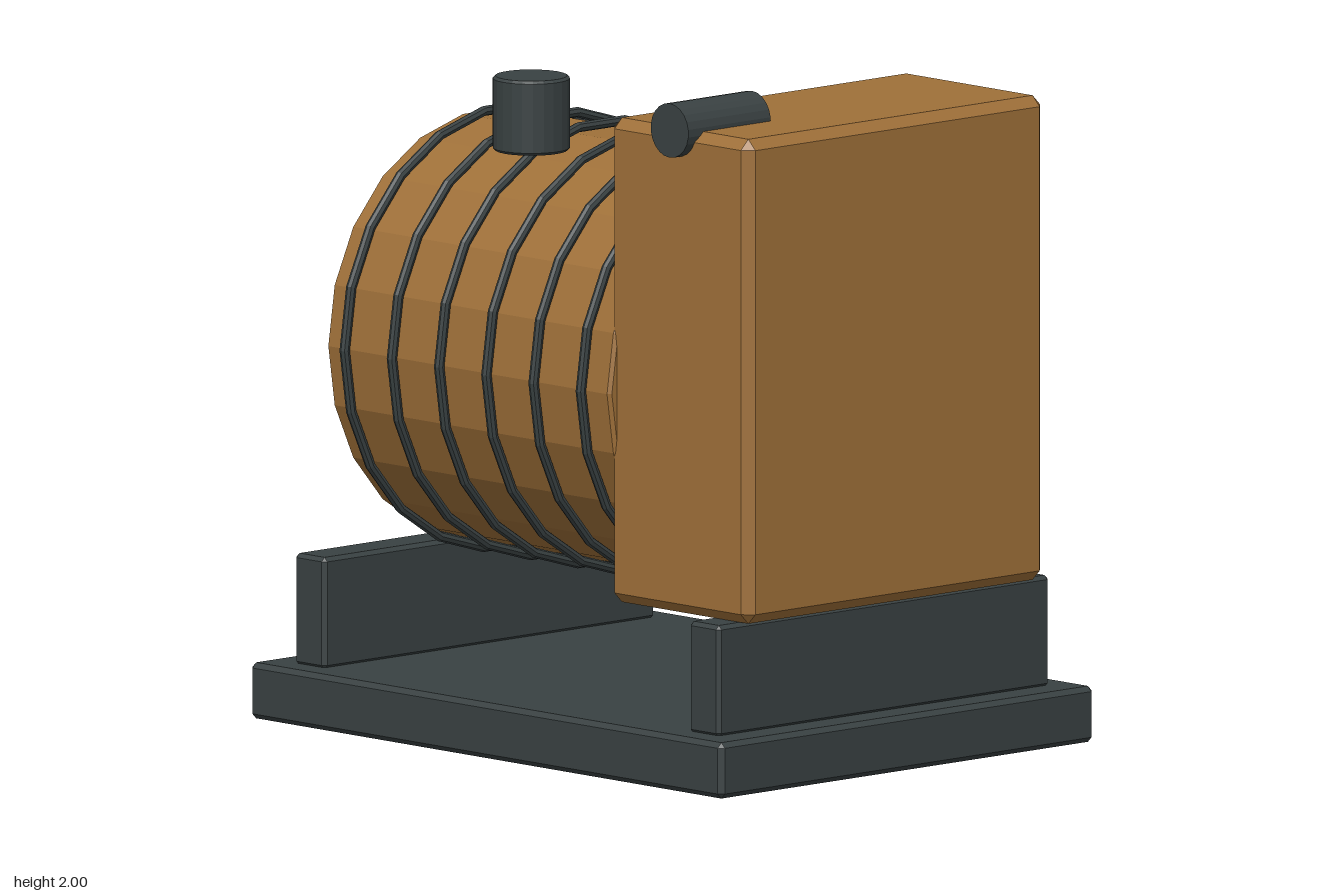
import * as THREE from 'three';
import { ConvexGeometry } from 'three/addons/geometries/ConvexGeometry.js';

const SIDES = 22;

export function createModel() {
  const root = new THREE.Group();
  root.name = 'drumMachine';
  const material = (name, color) => {
    const m = new THREE.MeshStandardMaterial({ color });
    m.name = name;
    return m;
  };
  const copper = material('copper', 0x9f7039);
  const iron = material('darkIron', 0x394142);
  const green = material('displayGreen', 0x3fb65c);

  const add = (name, geometry, mat, x, y, z, parent = root) => {
    const flat = geometry.index ? geometry.toNonIndexed() : geometry;
    flat.computeVertexNormals();
    const mesh = new THREE.Mesh(flat, mat);
    mesh.name = name;
    mesh.position.set(x, y, z);
    parent.add(mesh);
    return mesh;
  };

  // box with a single flat chamfer on every edge
  const chamferBox = (w, h, d, b) => {
    const points = [];
    for (const sx of [-1, 1]) for (const sy of [-1, 1]) for (const sz of [-1, 1]) {
      for (let full = 0; full < 3; full++) {
        const cut = (axis) => (axis === full ? 0 : b);
        points.push(new THREE.Vector3(
          sx * (w / 2 - cut(0)), sy * (h / 2 - cut(1)), sz * (d / 2 - cut(2))));
      }
    }
    return new ConvexGeometry(points);
  };

  // upright cylinder with chamfered rims, centred on the origin
  const chamferCylinder = (r, h, b) => new THREE.LatheGeometry([
    [0, -h / 2], [r - b, -h / 2], [r, -h / 2 + b],
    [r, h / 2 - b], [r - b, h / 2], [0, h / 2],
  ].map(([x, y]) => new THREE.Vector2(x, y)), SIDES);

  // base and the two supports
  add('base', chamferBox(2, 0.165, 1.5, 0.015), iron, 0, 0.0825, 0);
  for (const [name, x] of [['rightSupport', -0.835], ['leftSupport', 0.835]]) {
    add(name, chamferBox(0.13, 0.33, 1.33, 0.012), iron, x, 0.325, 0);
  }

  // drum lying along x, with raised hoops
  const axisY = 1.11;
  add('drum', chamferCylinder(0.63, 1.2, 0.01).rotateZ(Math.PI / 2), copper, -0.2, axisY, 0);
  const hoops = new THREE.Group();
  hoops.name = 'drumHoops';
  root.add(hoops);
  for (const x of [-0.7, -0.5, -0.3, -0.1, 0.1, 0.3]) {
    add('hoop', new THREE.TorusGeometry(0.65, 0.015, 8, SIDES).rotateY(Math.PI / 2),
      iron, x, axisY, 0, hoops);
  }

  // vent on the drum end
  const vent = new THREE.Group();
  vent.name = 'endVent';
  root.add(vent);
  add('ventDisc', chamferCylinder(0.375, 0.08, 0.012).rotateZ(Math.PI / 2),
    iron, -0.84, axisY, 0, vent);
  for (let i = 0; i < 6; i++) {
    add('ventSlat', new THREE.BoxGeometry(0.03, 0.045, 0.6),
      iron, -0.88, axisY + (i - 2.5) * 0.104, 0, vent);
  }

  // cabinet with the pipe on its top front edge, and the filler stub
  add('cabinet', chamferBox(0.595, 1.43, 1.2, 0.03), copper, 0.6575, 1.205, 0);
  add('cabinetPipe', new THREE.CylinderGeometry(0.08, 0.08, 0.33, SIDES).rotateX(Math.PI / 2),
    iron, 0.655, 1.92, 0.465);
  add('fillerStub', chamferCylinder(0.113, 0.22, 0.008), iron, -0.205, 1.84, 0.37);

  // control panel on the back of the cabinet
  add('screenFrame', chamferBox(0.435, 0.275, 0.04, 0.012), iron, 0.657, 1.335, -0.62);
  add('screen', new THREE.BoxGeometry(0.355, 0.2, 0.009), green, 0.657, 1.335, -0.6445);
  for (const [name, mat, x] of [['copperButton', copper, 0.77], ['greenButton', green, 0.57]]) {
    add(name, new THREE.SphereGeometry(0.033, 12, 8), mat, x, 0.945, -0.605);
  }
  return root;
}
